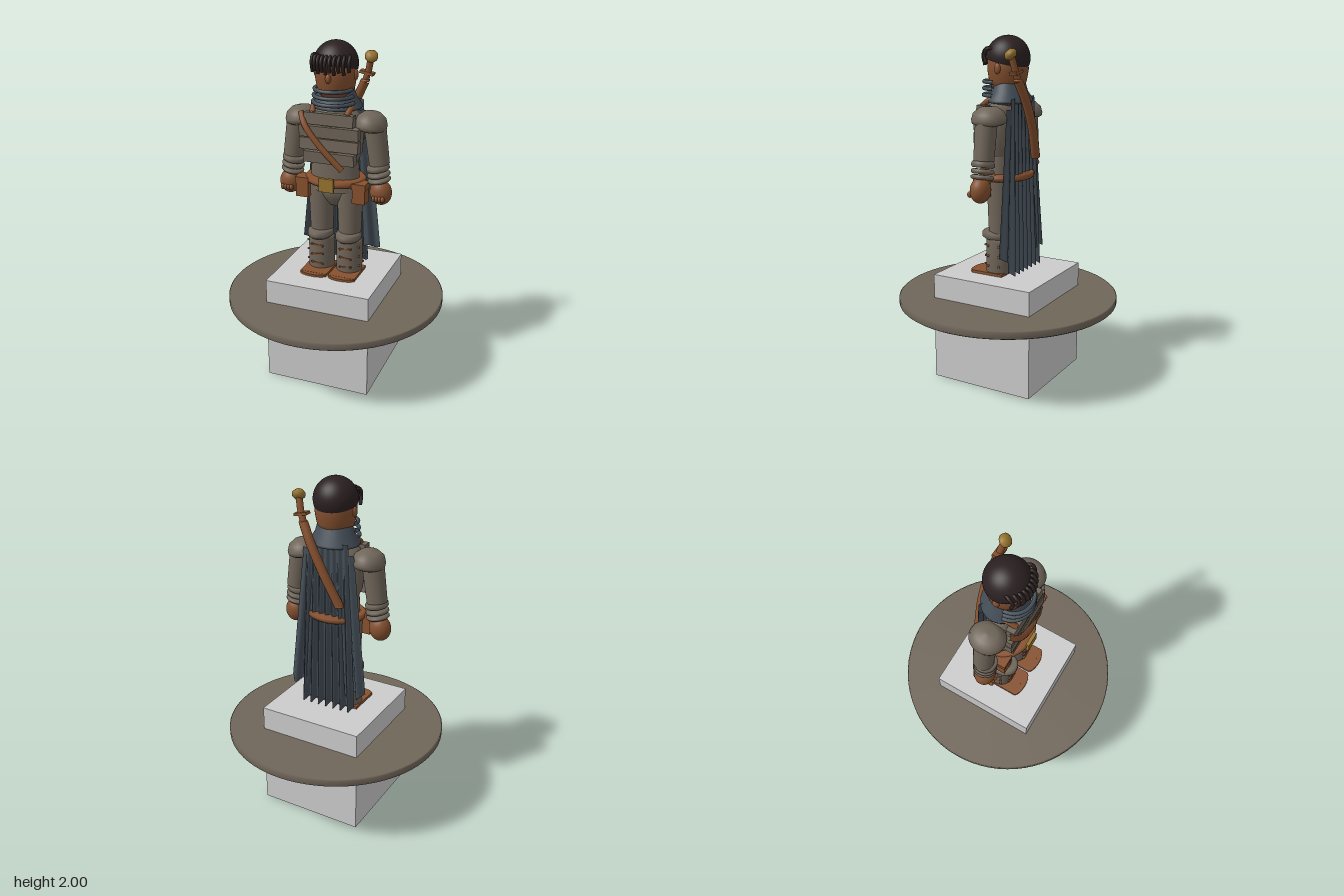
import * as THREE from 'three';

const mat = (name, color, double) => {
  const m = new THREE.MeshStandardMaterial({ color });
  m.name = name;
  if (double) m.side = THREE.DoubleSide;
  return m;
};

export function createModel() {
  const stone = mat('plinth grey', 0xcccccc);
  const armour = mat('armour taupe', 0x70665a, true);
  const leather = mat('leather brown', 0x87512f);
  const skin = mat('skin brown', 0x84502f);
  const hair = mat('hair dark', 0x2b2021, true);
  const cloth = mat('cloth slate', 0x434d56, true);
  const gold = mat('brass', 0x99752f);

  const model = new THREE.Group();
  const add = (name, geo, material, pos = [0, 0, 0], rot = [0, 0, 0], scale = [1, 1, 1], parent = model) => {
    const mesh = new THREE.Mesh(geo, material);
    mesh.name = name;
    mesh.position.set(...pos);
    mesh.rotation.set(...rot);
    mesh.scale.set(...scale);
    parent.add(mesh);
    return mesh;
  };
  const V = (...p) => new THREE.Vector3(...p);
  const ball = new THREE.SphereGeometry(1, 32, 20);
  const box = (w, h, d) => new THREE.BoxGeometry(w, h, d);
  const tube = (pts, r, n = 24) => new THREE.TubeGeometry(new THREE.CatmullRomCurve3(pts.map(p => V(...p))), n, r, 12);
  const lathe = (pts, seg = 40) => new THREE.LatheGeometry(pts.map(p => new THREE.Vector2(...p)), seg);
  // short barrel with softened rims
  const barrel = (r, h, b = 0.012) => lathe([[0, -h / 2], [r - b, -h / 2], [r, -h / 2 + b], [r, h / 2 - b], [r - b, h / 2], [0, h / 2]]);

  // Plinth and disc
  add('plinth', box(0.632, 0.635, 0.632), stone, [0, 0.3175, 0]);
  add('disc', lathe([[0, 0.447], [0.64, 0.447], [0.648, 0.453], [0.648, 0.487], [0.64, 0.493], [0, 0.493]], 72), armour);

  // Head and hair
  add('head', lathe([[0, 1.69], [0.09, 1.7], [0.107, 1.75], [0.117, 1.81], [0.116, 1.88], [0.08, 1.95], [0, 1.97]]), skin);
  add('hairCap', new THREE.SphereGeometry(0.125, 40, 24, 0, Math.PI * 2, 0, Math.PI * 0.56), hair, [0, 1.875, -0.002], [-0.22, 0, 0]);
  add('nose', ball, skin, [0, 1.81, 0.117], [0, 0, 0], [0.016, 0.026, 0.016]);
  for (const s of [-1, 1]) add('ear', ball, skin, [s * 0.118, 1.82, 0], [0, 0, 0], [0.012, 0.03, 0.02]);
  for (let i = 0; i < 10; i++) {
    const x = -0.107 + i * 0.0238;
    const z = Math.sqrt(0.0156 - x * x * 0.85);
    const drop = 0.012 * (i % 2);
    add('fringeLock', tube([[x * 0.85, 1.925, z - 0.04], [x, 1.925, z - 0.005], [x, 1.89, z + 0.014], [x, 1.835 + drop, z + 0.002]], 0.0095, 14), hair);
  }

  // Scarf: flared collar and three front coils
  add('scarfCollar', lathe([[0.085, 1.75], [0.1, 1.74], [0.115, 1.69], [0.148, 1.645], [0.145, 1.63], [0.1, 1.62]]), cloth, [0, 0, -0.012], [0, 0, 0], [1, 1, 0.85]);
  for (let i = 0; i < 3; i++) {
    add('scarfCoil', new THREE.TorusGeometry(0.105, 0.011, 10, 30, Math.PI), cloth,
      [0, 1.742 - i * 0.037, 0.035], [Math.PI / 2, 0, 0], [1 + i * 0.05, 1, 1]);
  }

  // Torso, pelvis and chest plates
  add('torso', lathe([[0, 1.24], [0.06, 1.25], [0.12, 1.29], [0.16, 1.38], [0.17, 1.5], [0.155, 1.59], [0.1, 1.64], [0, 1.65]]), armour, [0, 0, 0.01], [0, 0, 0], [1, 1, 0.6]);
  add('waist', new THREE.CylinderGeometry(0.14, 0.15, 0.18, 32), armour, [0, 1.24, 0.01], [0, 0, 0], [1, 1, 0.62]);
  add('pelvis', lathe([[0, 1.04], [0.04, 1.05], [0.09, 1.1], [0.15, 1.2], [0, 1.23]]), armour, [0, 0, 0.01], [0, 0, 0], [1, 1, 0.65]);
  [[0.29, 1.582], [0.35, 1.51], [0.35, 1.436], [0.3, 1.362]].forEach(([w, y], i) => {
    add('chestPlate', box(w, 0.066, 0.05), armour, [0, y, 0.098], [i % 2 ? 0.06 : -0.06, 0, 0]);
  });
  add('chestStrap', tube([[-0.17, 1.61, 0.1], [-0.13, 1.54, 0.135], [-0.03, 1.42, 0.14], [0.08, 1.3, 0.12]], 0.017), leather);
  for (const s of [-1, 1]) add('shoulderStrap', tube([[s * 0.1, 1.61, 0.11], [s * 0.11, 1.645, 0.05], [s * 0.1, 1.63, -0.08]], 0.016), leather);

  // Belt, buckle, pouches
  add('belt', barrel(0.18, 0.04), leather, [0, 1.212, 0.003], [0, 0, 0], [1, 1, 0.82]);
  add('buckle', box(0.088, 0.08, 0.02), gold, [0, 1.213, 0.15]);
  for (const s of [-1, 1]) {
    add('pouch', box(0.075, 0.11, 0.08), leather, [s * 0.172, 1.158, 0.06]);
    add('pouchFlap', box(0.083, 0.035, 0.088), leather, [s * 0.172, 1.205, 0.06]);
  }

  // Arms and legs, mirrored
  for (const s of [-1, 1]) {
    const arm = new THREE.Group();
    arm.name = s > 0 ? 'leftArm' : 'rightArm';
    model.add(arm);
    const a = (name, geo, m, x, y, z, tilt, scale) => add(name, geo, m, [s * x, y, z], [0, 0, s * tilt], scale, arm);
    a('shoulderPad', lathe([[0, -0.035], [0.08, -0.035], [0.097, -0.025], [0.1, -0.005], [0.088, 0.03], [0.055, 0.056], [0, 0.063]]), armour, 0.208, 1.558, 0, -0.1, [0.92, 1, 1.02]);
    for (let k = 0; k < 3; k++) a('rivet', ball, gold, 0.165 + k * 0.035, 1.53, 0.093 - (k - 1) ** 2 * 0.006, 0, [0.007, 0.007, 0.007]);
    a('upperArm', new THREE.CylinderGeometry(0.062, 0.058, 0.21, 32), armour, 0.248, 1.43, 0.002, 0.14);
    [[0.257, 1.305, 0.036], [0.262, 1.267, 0.028], [0.266, 1.235, 0.026]].forEach(([x, y, h]) => {
      a('forearmBand', barrel(0.066, h, 0.009), armour, x, y, 0.01, 0.2);
    });
    a('hand', ball, skin, 0.278, 1.163, 0.015, 0.1, [0.064, 0.074, 0.058]);
    for (let k = 0; k < 4; k++) a('finger', ball, skin, 0.252 + k * 0.018, 1.138, 0.068, 0, [0.011, 0.018, 0.016]);

    const leg = new THREE.Group();
    leg.name = s > 0 ? 'leftLeg' : 'rightLeg';
    model.add(leg);
    const l = (name, geo, m, y, z, scale) => add(name, geo, m, [s * 0.088, y, z], [0, 0, 0], scale, leg);
    l('thigh', new THREE.CylinderGeometry(0.078, 0.066, 0.32, 32), armour, 1.03, 0);
    l('kneeGuard', barrel(0.075, 0.05), armour, 0.868, 0.02, [1, 1, 1.22]);
    l('shinGuard', barrel(0.077, 0.21), armour, 0.742, 0.005);
    for (let k = 0; k < 3; k++) {
      add('shinStrap', box(0.075, 0.01, 0.03), leather, [s * 0.088, 0.8 - k * 0.058, 0.07], [0, 0, s * (k === 1 ? -0.12 : 0.1)], [1, 1, 1], leg);
      for (const z of [-0.03, 0.04]) add('shinStud', ball, leather, [s * 0.16, 0.81 - k * 0.06, z], [0, 0, 0], [0.007, 0.007, 0.007], leg);
    }
    l('boot', box(0.165, 0.016, 0.2), leather, 0.643, 0.045);
    add('bootToe', new THREE.CylinderGeometry(0.0825, 0.0825, 0.014, 32), leather, [s * 0.088, 0.643, 0.14], [0, 0, 0], [1, 1, 0.4], leg);
  }

  // Cape: pleated sheets whose width and folds grow toward the hem
  const cape = (name, x0, x1, b0, b1, top, hem, pleats, z0) => {
    const geo = new THREE.PlaneGeometry(1, 1, pleats * 10, 24);
    const p = geo.attributes.position;
    for (let i = 0; i < p.count; i++) {
      const u = p.getX(i) + 0.5, t = 0.5 - p.getY(i);
      const wave = Math.cos(u * pleats * Math.PI * 2);
      const y = top + (hem + 0.012 * wave - top) * t;
      const x = THREE.MathUtils.lerp(THREE.MathUtils.lerp(x0, x1, u), THREE.MathUtils.lerp(b0, b1, u), t);
      p.setXYZ(i, x, y, z0 + wave * (0.006 + 0.012 * t) - 0.014 * t);
    }
    geo.computeVertexNormals();
    add(name, geo, cloth);
  };
  cape('capeCentre', -0.13, 0.13, -0.18, 0.17, 1.66, 0.66, 7, -0.102);
  cape('capeRight', -0.16, -0.05, -0.245, -0.1, 1.6, 0.76, 2, -0.09);
  cape('capeLeft', 0.05, 0.16, 0.1, 0.25, 1.6, 0.76, 2, -0.09);

  // Sword slung across the back
  add('scabbard', tube([[0.125, 1.76, -0.135], [0.07, 1.65, -0.152], [-0.01, 1.49, -0.152], [-0.095, 1.31, -0.13]], 0.026), leather);
  for (const [x, y, z] of [[0.125, 1.76, -0.135], [-0.095, 1.31, -0.13]]) add('scabbardEnd', ball, leather, [x, y, z], [0, 0, 0], [0.026, 0.012, 0.026]);
  add('grip', tube([[0.125, 1.76, -0.135], [0.145, 1.82, -0.128], [0.162, 1.89, -0.115]], 0.019), leather);
  add('guard', box(0.08, 0.016, 0.045), leather, [0.137, 1.805, -0.13], [0, 0, -0.2]);
  add('pommel', barrel(0.036, 0.05, 0.016), gold, [0.166, 1.902, -0.112], [0.7, 0, -0.25]);

  return model;
}
